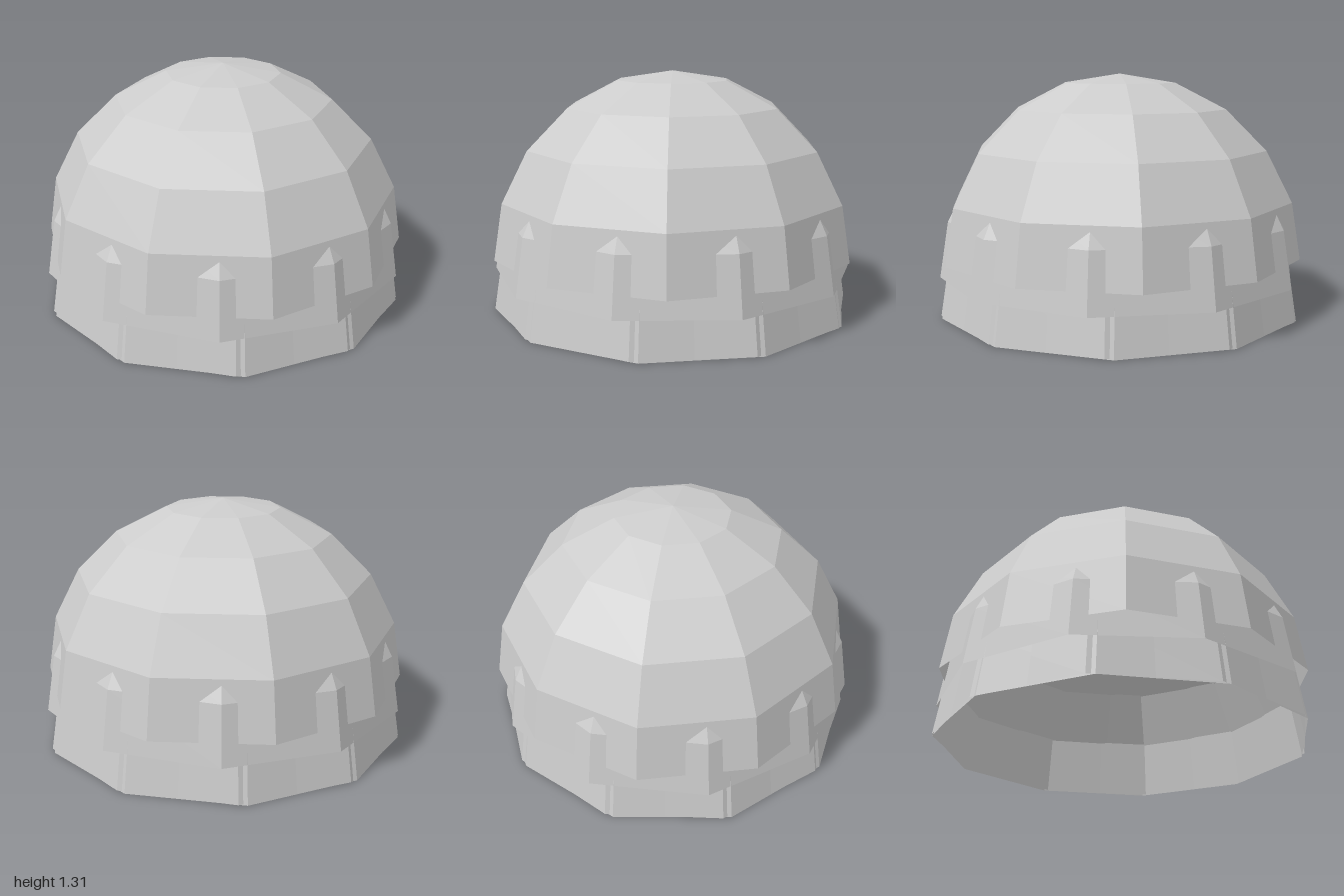
import * as THREE from 'three';

// Nested faceted shells: [name, height of the open rim, turn in degrees]
const SHELLS = [
  ['outerDome', 0.31, 0],
  ['middleDome', 0.2, 15],
  ['lowerDome', 0.005, 10.3],
  ['baseDome', 0, 7.7],
];

export function createModel() {
  const model = new THREE.Group();
  model.name = 'layeredDome';

  const material = new THREE.MeshStandardMaterial({
    color: 0xcccccc,
    flatShading: true,
    side: THREE.DoubleSide,
  });

  // Ten-sided open hemisphere with five rows of facets
  const hemisphere = new THREE.SphereGeometry(1, 10, 5, 0, Math.PI * 2, 0, Math.PI / 2);

  // Each shell is lowered and twisted so its corners poke through the one above
  for (const [name, y, turn] of SHELLS) {
    const shell = new THREE.Mesh(hemisphere, material);
    shell.name = name;
    shell.position.y = y;
    shell.rotation.y = -THREE.MathUtils.degToRad(turn);
    model.add(shell);
  }
  return model;
}
